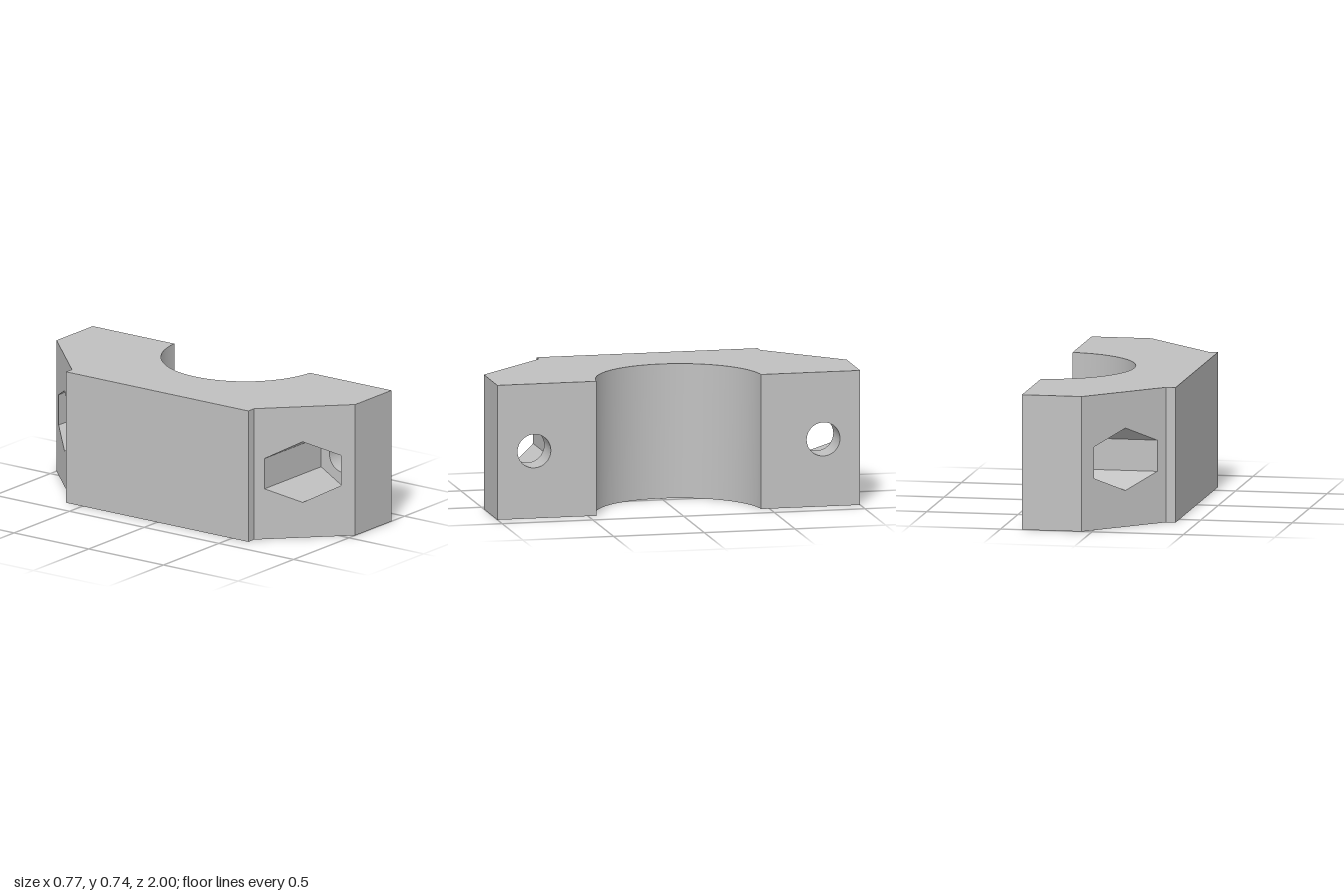
import * as THREE from 'three';
import { toCreasedNormals } from 'three/addons/utils/BufferGeometryUtils.js';

const H = 0.735, X = 0.383;            // height and half depth
const BORE_X = 0.414, BORE_R = 0.455;  // large round cut-out
const BOLT_Z = 0.797, BOLT_R = 0.092;  // bolt holes
const HEX_R = 0.17, SEAT_X = 0.22;     // nut pockets and their floor
const C0 = new THREE.Vector2(-0.33, 0.61), C1 = new THREE.Vector2(0.056, 1); // chamfer ends (x, z)
const CHAMFER = C0.distanceTo(C1);

const V = (x, y, z) => new THREE.Vector3(x, y, z);

// Surface joining two matching rows of points
function loft(a, b) {
  const index = [], n = a.length;
  for (let i = 0; i < n - 1; i++) index.push(i, i + 1, n + i + 1, i, n + i + 1, n + i);
  const geo = new THREE.BufferGeometry().setFromPoints([...a, ...b]);
  geo.setIndex(index);
  return toCreasedNormals(geo, 0.5);
}

// Upright wall over a floor path of [x, z] points
const wall = (path) => loft(path.map(([x, z]) => V(x, 0, z)), path.map(([x, z]) => V(x, H, z)));

// Flat upright panel: shape x runs along dir, shape y runs up
function panel(outline, hole, origin, dir) {
  const shape = new THREE.Shape(outline);
  shape.holes.push(new THREE.Path(hole));
  const up = V(0, 1, 0);
  const m = new THREE.Matrix4().makeBasis(dir, up, dir.clone().cross(up)).setPosition(origin);
  return new THREE.ShapeGeometry(shape).applyMatrix4(m);
}

const rect = (w) => [[0, 0], [w, 0], [w, H], [0, H]].map(([x, y]) => new THREE.Vector2(x, y));

// Closed ring of (z, y) points around the bolt axis
function ring(radius, sides, start = 0) {
  return Array.from({ length: sides + 1 }, (_, i) => {
    const t = start + (i % sides) / sides * Math.PI * 2;
    return new THREE.Vector2(BOLT_Z + radius * Math.cos(t), H / 2 + radius * Math.sin(t));
  });
}

export function createModel() {
  const model = new THREE.Group();
  model.name = 'halfClamp';
  const grey = new THREE.MeshStandardMaterial({ color: 0xc0c0c0 });
  grey.name = 'plain grey';
  const add = (parent, name, geo) => {
    const mesh = new THREE.Mesh(geo, grey);
    mesh.name = name;
    parent.add(mesh);
  };

  // Curved saddle, from the +z end to the -z end
  const t0 = Math.acos((X - BORE_X) / BORE_R);
  const arc = Array.from({ length: 49 }, (_, i) => {
    const t = t0 + (2 * Math.PI - 2 * t0) * i / 48;
    return [BORE_X + BORE_R * Math.cos(t), BORE_R * Math.sin(t)];
  });
  const jawZ = arc[0][1];
  add(model, 'saddle', wall(arc));
  add(model, 'backWall', wall([[-X, -C0.y], [-X, C0.y]]));

  // Top and bottom faces share one outline
  const side = [[-X, C0.y], [C0.x, C0.y], [C1.x, 1], [X, 1]];
  const mirrored = side.map(([x, z]) => [x, -z]).reverse();
  const outline = new THREE.Shape([...side, ...arc, ...mirrored].map(([x, z]) => new THREE.Vector2(x, z)));
  add(model, 'topFace', new THREE.ShapeGeometry(outline).rotateX(-Math.PI / 2).translate(0, H, 0));
  add(model, 'bottomFace', new THREE.ShapeGeometry(outline).rotateX(Math.PI / 2));

  // Two bolted ears; the second is the first turned half a turn about the x axis
  const hex = ring(HEX_R, 6, Math.PI / 6), bolt = ring(BOLT_R, 40);
  const atX = (points, x) => points.map((p) => V(x, p.y, p.x));
  const chamferX = (z) => C0.x + (z - C0.y) / (C1.y - C0.y) * (C1.x - C0.x);
  const shifted = (points, f) => points.slice(0, -1).map((p) => new THREE.Vector2(f(p.x), p.y));

  for (const far of [false, true]) {
    const ear = new THREE.Group();
    ear.name = far ? 'backEar' : 'frontEar';
    add(ear, 'notch', wall([[-X, C0.y], [C0.x, C0.y]]));
    add(ear, 'endFace', wall([[C1.x, 1], [X, 1]]));

    const along = V(C1.x - C0.x, 0, C1.y - C0.y).normalize();
    const opening = shifted(hex, (z) => (z - C0.y) / (C1.y - C0.y) * CHAMFER);
    add(ear, 'chamferFace', panel(rect(CHAMFER), opening, V(C0.x, 0, C0.y), along));
    add(ear, 'jawFace', panel(rect(1 - jawZ), shifted(bolt, (z) => 1 - z), V(X, 0, 1), V(0, 0, -1)));

    // Hexagonal nut pocket, its floor and the round bolt hole
    add(ear, 'nutPocket', loft(hex.map((p) => V(chamferX(p.x), p.y, p.x)), atX(hex, SEAT_X)));
    add(ear, 'nutSeat', panel(hex.slice(0, -1), shifted(bolt, (z) => z), V(SEAT_X, 0, 0), V(0, 0, 1)));
    add(ear, 'boltHole', loft(atX(bolt, SEAT_X), atX(bolt, X)));

    if (far) {
      ear.rotation.x = Math.PI;
      ear.position.y = H;
    }
    model.add(ear);
  }
  return model;
}
